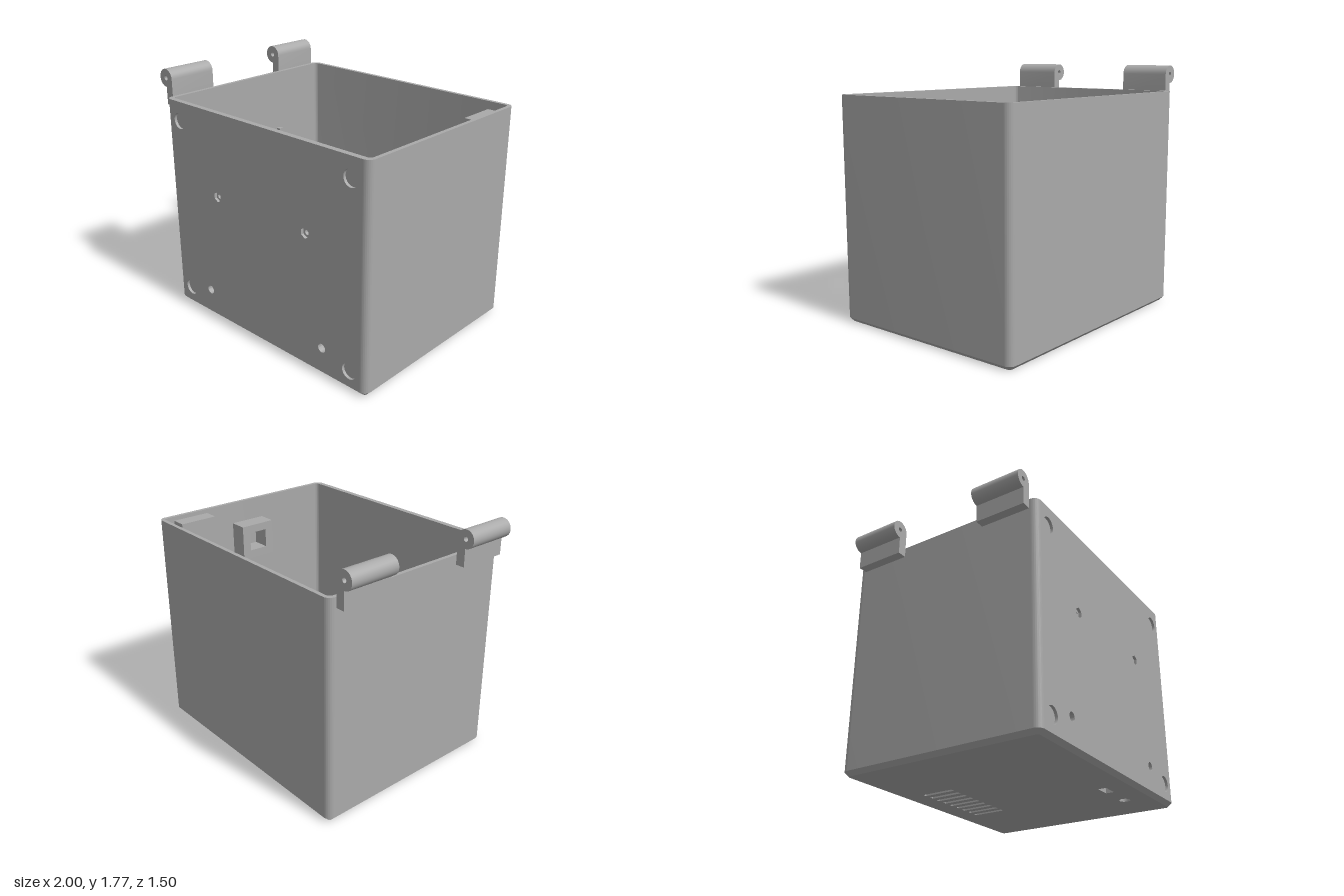
import * as THREE from 'three';
import { toCreasedNormals } from 'three/addons/utils/BufferGeometryUtils.js';

const XL = -0.87, XR = 1, ZF = 0.75, TOP = 1.59, WALL = 0.028, CHAMFER = 0.03, R = 0.05;
const grey = new THREE.MeshStandardMaterial({ color: 0xaaaaaa });
grey.name = 'grey plastic';

export function createModel() {
  const model = new THREE.Group();
  model.name = 'hingedBox';

  const add = (name, geometry, x = 0, y = 0, z = 0) => {
    const mesh = new THREE.Mesh(geometry, grey);
    mesh.name = name;
    mesh.position.set(x, y, z);
    model.add(mesh);
    return mesh;
  };
  const box = (name, x0, x1, y0, y1, z0, z1) =>
    add(name, new THREE.BoxGeometry(x1 - x0, y1 - y0, z1 - z0), (x0 + x1) / 2, (y0 + y1) / 2, (z0 + z1) / 2);
  const extrude = (shape, depth) => toCreasedNormals(
    new THREE.ExtrudeGeometry(shape, { depth, bevelEnabled: false, curveSegments: 10 }), 0.5);
  // Plan shapes use (x, -z) and are extruded upwards
  const extrudeUp = (shape, depth) => extrude(shape, depth).rotateX(-Math.PI / 2);

  const rect = (x0, x1, y0, y1) => new THREE.Shape()
    .moveTo(x0, y0).lineTo(x1, y0).lineTo(x1, y1).lineTo(x0, y1).closePath();
  const disc = (x, y, r, n = 28) => {
    const points = [];
    for (let i = 0; i < n; i++) {
      const a = (i / n) * Math.PI * 2;
      points.push(new THREE.Vector2(x + r * Math.cos(a), y + r * Math.sin(a)));
    }
    return new THREE.Shape(points);
  };
  const roundedPoints = (inset, r) => {
    const points = [];
    const corners = [[XR, -ZF, 1, -1], [XR, ZF, 1, 1], [XL, ZF, -1, 1], [XL, -ZF, -1, -1]];
    corners.forEach(([x, y, sx, sy], k) => {
      for (let i = 0; i <= 8; i++) {
        const a = (k - 1 + i / 8) * Math.PI / 2;
        points.push(new THREE.Vector2(x - sx * (inset + r) + r * Math.cos(a), y - sy * (inset + r) + r * Math.sin(a)));
      }
    });
    return points;
  };

  // Side and back walls as a U with rounded corners, open at the front panel
  const ix0 = XL + WALL, ix1 = XR - WALL, back = ZF - WALL, front = -0.71, ir = 0.03;
  const u = new THREE.Shape();
  u.moveTo(XR - R, -ZF);
  u.absarc(XR - R, -ZF + R, R, -Math.PI / 2, 0);
  u.absarc(XR - R, ZF - R, R, 0, Math.PI / 2);
  u.absarc(XL + R, ZF - R, R, Math.PI / 2, Math.PI);
  u.absarc(XL + R, -ZF + R, R, Math.PI, Math.PI * 1.5);
  u.lineTo(XL + R, front);
  u.lineTo(ix0 + ir, front);
  u.absarc(ix0 + ir, front + ir, ir, Math.PI * 1.5, Math.PI, true);
  u.absarc(ix0 + ir, back - ir, ir, Math.PI, Math.PI / 2, true);
  u.absarc(ix1 - ir, back - ir, ir, Math.PI / 2, 0, true);
  u.absarc(ix1 - ir, front + ir, ir, 0, -Math.PI / 2, true);
  u.lineTo(XR - R, front);
  u.closePath();
  add('sideAndBackWalls', extrudeUp(u, TOP - CHAMFER), 0, CHAMFER, 0);

  // Front wall: outer layer has recesses, inner layer only the through holes
  const outer = rect(XL + R, XR - R, CHAMFER, TOP);
  const inner = rect(XL + R, XR - R, CHAMFER, TOP);
  for (const x of [-0.73, 0.86]) for (const y of [0.145, 1.452]) outer.holes.push(disc(x, y, 0.058));
  for (const x of [-0.36, 0.484]) {
    const hex = disc(0, 0, 0.037, 6).getPoints().slice(0, 6)
      .map(p => new THREE.Vector2(x - p.y, 0.985 + p.x));
    outer.holes.push(new THREE.Shape(hex));
    inner.holes.push(disc(x, 0.985, 0.018));
  }
  for (const x of [-0.5, 0.623]) {
    outer.holes.push(disc(x, 0.21, 0.032));
    inner.holes.push(disc(x, 0.21, 0.032));
  }
  add('frontWallOuter', extrude(outer, 0.02), 0, 0, 0.73);
  add('frontWallInner', extrude(inner, 0.02), 0, 0, 0.71);

  // Floor with vent slots, a cable slot and a round socket hole
  const floor = new THREE.Shape(roundedPoints(CHAMFER, 0.02));
  for (let i = 0; i < 9; i++) {
    const x = -0.237 + i * 0.0753;
    floor.holes.push(rect(x - 0.016, x + 0.016, 0.33, 0.57));
  }
  floor.holes.push(rect(0.283, 0.4, -0.565, -0.505), disc(0.623, -0.538, 0.039));
  add('floor', extrudeUp(floor, 0.035));

  // Chamfer around the bottom edge
  const low = roundedPoints(CHAMFER, 0.02), high = roundedPoints(0, R), skirt = [];
  low.forEach((a, i) => {
    const j = (i + 1) % low.length, b = low[j], c = high[j], d = high[i];
    const A = [a.x, 0, -a.y], B = [b.x, 0, -b.y], C = [c.x, CHAMFER, -c.y], D = [d.x, CHAMFER, -d.y];
    skirt.push(...A, ...B, ...C, ...A, ...C, ...D);
  });
  const skirtGeometry = new THREE.BufferGeometry();
  skirtGeometry.setAttribute('position', new THREE.Float32BufferAttribute(skirt, 3));
  skirtGeometry.computeVertexNormals();
  add('bottomChamfer', toCreasedNormals(skirtGeometry, 0.5));

  // Inside ledges and slim posts on both side walls
  box('leftLedge', 0.91, ix1, 0.035, 0.1, -0.72, 0.71);
  box('rightLedge', ix0, -0.79, 0.035, 0.1, -0.72, 0.71);
  box('leftPost', 0.935, ix1, 0.1, 1.14, -0.3, -0.266);
  box('rightPost', ix0, -0.806, 0.1, 1.14, -0.3, -0.266);

  // Latch housings inside the left wall
  const channel = rect(0.865, ix1, 1.4, 1.56);
  channel.holes.push(rect(0.89, 0.945, 1.44, 1.53));
  add('upperLatchHousing', extrude(channel, 0.28), 0, 0, -0.64);
  const windowed = rect(-0.14, 0.135, 1.17, 1.43);
  windowed.holes.push(rect(-0.075, 0.07, 1.23, 1.37));
  add('lowerLatchHousing', extrude(windowed, 0.132).rotateY(Math.PI / 2), 0.84, 0, 0);

  // Hinge knuckles with a pin hole and a mounting leg
  const hx = -0.935, hy = 1.71, hr = 0.065;
  const knuckle = new THREE.Shape();
  knuckle.moveTo(hx, 1.52);
  knuckle.lineTo(XL, 1.52);
  knuckle.lineTo(XL, hy);
  knuckle.absarc(hx, hy, hr, 0, Math.PI * 1.5);
  knuckle.closePath();
  knuckle.holes.push(disc(hx, hy, 0.017, 16));
  for (const [name, z] of [['frontHinge', 0.328], ['backHinge', -0.692]])
    add(name, extrude(knuckle, 0.364), 0, 0, z);

  return model;
}
